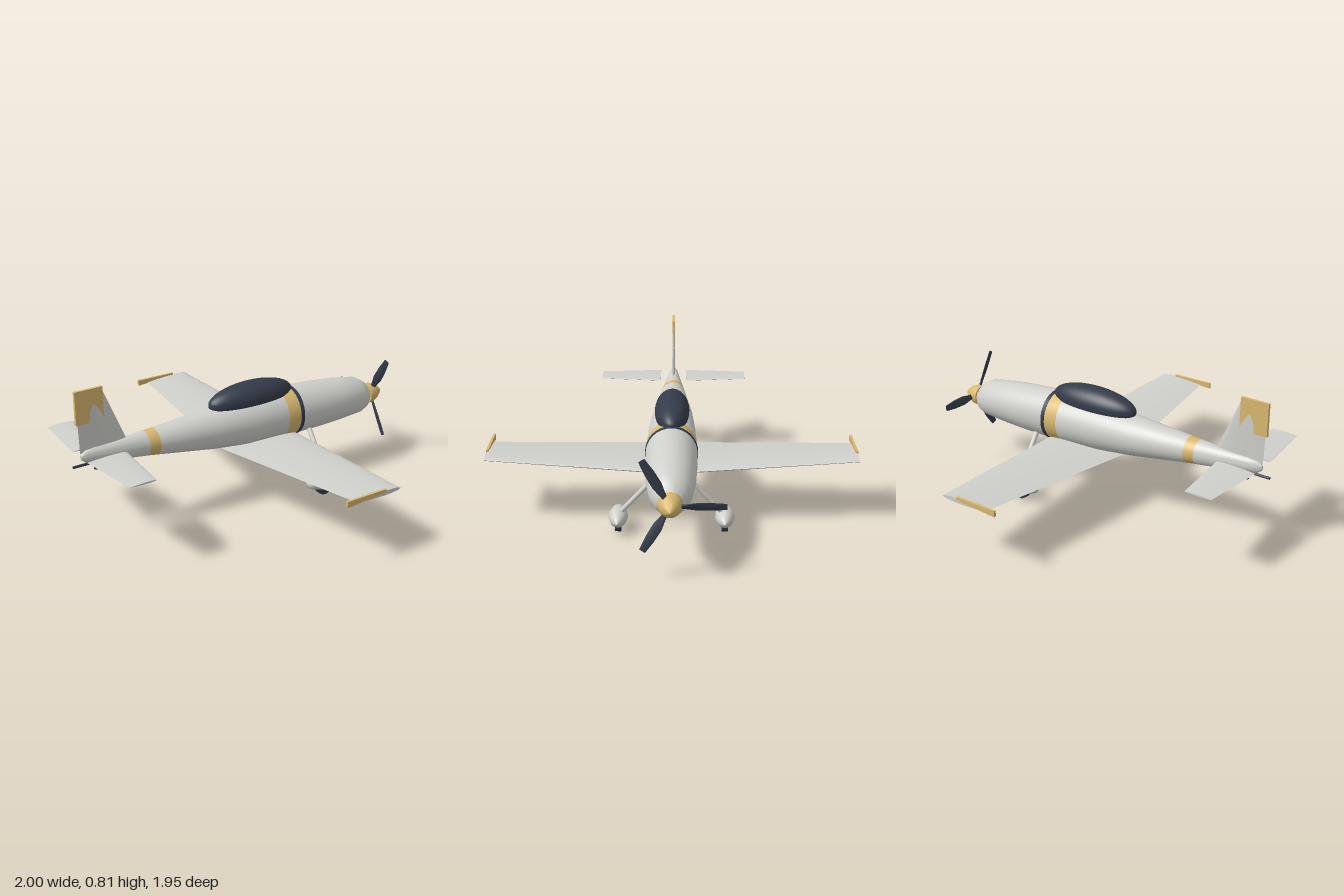
import * as THREE from 'three';
import { toCreasedNormals } from 'three/addons/utils/BufferGeometryUtils.js';

const material = (name, color) => Object.assign(new THREE.MeshStandardMaterial({ color }), { name });

// Skin over closed rings of points, optionally capped at both ends
function loft(rings, capped = true) {
  const n = rings[0].length, pos = rings.flat(2), index = [];
  for (let i = 0; i < rings.length - 1; i++) {
    for (let j = 0; j < n; j++) {
      const k = (j + 1) % n, a = i * n, b = a + n;
      index.push(a + j, a + k, b + j, a + k, b + k, b + j);
    }
  }
  if (capped) {
    const last = (rings.length - 1) * n;
    for (let j = 1; j < n - 1; j++) {
      index.push(0, j + 1, j, last, last + j, last + j + 1);
    }
  }
  const g = new THREE.BufferGeometry();
  g.setAttribute('position', new THREE.Float32BufferAttribute(pos, 3));
  g.setIndex(index);
  return toCreasedNormals(g, 0.7);
}

// Aerofoil outline as [along chord, across] pairs, leading edge at x1
function aerofoil(x0, x1, thick, n = 20) {
  return Array.from({ length: n }, (_, j) => {
    const t = j / n * Math.PI * 2, c = (1 + Math.cos(t)) / 2;
    return [x0 + (x1 - x0) * c, 0.65 * thick * Math.sin(t) * Math.sqrt(c)];
  });
}
const wingRing = (z, y, x0, x1, thick) => aerofoil(x0, x1, thick).map(([x, d]) => [x, y + d, z]);

// Fuselage stations: x, top y, bottom y, half width
const stations = [
  [-0.955, 0.478, 0.452, 0.008], [-0.93, 0.498, 0.432, 0.018], [-0.88, 0.505, 0.42, 0.027],
  [-0.58, 0.517, 0.383, 0.065], [-0.2, 0.54, 0.322, 0.11], [0.02, 0.551, 0.295, 0.124],
  [0.3, 0.557, 0.28, 0.133], [0.5, 0.543, 0.28, 0.13], [0.65, 0.527, 0.285, 0.123],
  [0.8, 0.502, 0.292, 0.105], [0.85, 0.473, 0.307, 0.082], [0.885, 0.432, 0.338, 0.048],
];
function stationAt(x) {
  let i = 0;
  while (i < stations.length - 2 && stations[i + 1][0] < x) i++;
  const a = stations[i], b = stations[i + 1], t = (x - a[0]) / (b[0] - a[0]);
  return a.map((v, k) => v + (b[k] - v) * t);
}
function fuselageSection(x0, x1, grow = 0) {
  const list = [stationAt(x0), ...stations.filter(s => s[0] > x0 + 1e-4 && s[0] < x1 - 1e-4), stationAt(x1)];
  return loft(list.map(([x, top, bottom, w]) => Array.from({ length: 32 }, (_, j) => {
    const t = j / 32 * Math.PI * 2;
    return [x, (top + bottom) / 2 + ((top - bottom) / 2 + grow) * Math.cos(t), (w + grow) * Math.sin(t)];
  })));
}

// Flat plate in the x-y plane, centred on z = 0
function plate(points, depth) {
  const g = new THREE.ExtrudeGeometry(new THREE.Shape(points.map(p => new THREE.Vector2(...p))),
    { depth, bevelEnabled: false });
  return g.translate(0, 0, -depth / 2);
}
const lathe = (points, segments = 24) =>
  new THREE.LatheGeometry(points.map(p => new THREE.Vector2(...p)), segments);

export function createModel() {
  const model = new THREE.Group();
  model.name = 'aeroplane';
  const white = material('paleGrey', 0xcfcfcb);
  const gold = material('gold', 0xd9b76f);
  const dark = material('darkSlate', 0x343c4a);

  const add = (name, geometry, mat, parent = model) => {
    const mesh = new THREE.Mesh(geometry, mat);
    mesh.name = name;
    parent.add(mesh);
    return mesh;
  };

  // Fuselage with painted bands
  add('rearFuselage', fuselageSection(-0.955, -0.595), white);
  add('rearBand', fuselageSection(-0.595, -0.538), gold);
  add('midFuselage', fuselageSection(-0.538, 0.235), white);
  add('frontBand', fuselageSection(0.235, 0.315), gold);
  add('darkRing', fuselageSection(0.313, 0.335, 0.003), dark);
  add('noseFuselage', fuselageSection(0.315, 0.885), white);

  // Canopy bubble, cut flat underneath
  const bubble = [[0, -0.23]];
  for (let i = 0; i <= 16; i++) {
    const t = 1.8 * (1 - i / 16);
    bubble.push([Math.sin(t), Math.cos(t)]);
  }
  const canopy = add('canopy', toCreasedNormals(lathe(bubble, 40).scale(0.265, 0.087, 0.091), 0.7), dark);
  canopy.position.set(0.065, 0.555, 0);

  // Main wing in one piece, with dihedral
  add('wing', loft([
    wingRing(-0.972, 0.348, -0.01, 0.265, 0.024),
    wingRing(0, 0.303, -0.135, 0.322, 0.045),
    wingRing(0.972, 0.348, -0.01, 0.265, 0.024),
  ]), white);

  // Tailplane halves and wing tip plates
  for (const side of [1, -1]) {
    const halves = [wingRing(side * 0.077, 0.468, -0.96, -0.74, 0.014),
      wingRing(side * 0.43, 0.468, -0.925, -0.78, 0.009)];
    add(side > 0 ? 'rightTailplane' : 'leftTailplane', loft(side > 0 ? halves : halves.reverse()), white);
    const tip = add('wingTipPlate', plate([[-0.073, 0.34], [0.17, 0.354], [0.17, 0.37], [-0.073, 0.372]], 0.013), gold);
    tip.position.z = side * 0.97;
  }

  // Fin and its painted tip
  const finRing = (y, x0, x1, thick) => aerofoil(x0, x1, thick).map(([x, d]) => [x, y, -d]);
  add('fin', loft([finRing(0.485, -0.957, -0.69, 0.018), finRing(0.808, -0.967, -0.825, 0.01)]), white);
  add('finTip', plate([[-0.972, 0.638], [-0.9, 0.638], [-0.895, 0.69], [-0.882, 0.725], [-0.866, 0.73],
    [-0.845, 0.705], [-0.82, 0.652], [-0.82, 0.812], [-0.972, 0.812]], 0.0155), gold);

  // Propeller: spinner and three twisted blades
  const propeller = new THREE.Group();
  propeller.name = 'propeller';
  propeller.position.set(0.92, 0.385, 0);
  model.add(propeller);
  const spinner = add('spinner', lathe([[0, -0.035], [0.058, -0.035], [0.058, -0.034], [0.056, 0],
    [0.044, 0.03], [0.024, 0.058], [0, 0.08]]), gold, propeller);
  spinner.geometry = toCreasedNormals(spinner.geometry, 0.9);
  spinner.rotation.z = -Math.PI / 2;
  const bladeRings = [[0.03, 0.022, 0.016, 0.6], [0.07, 0.032, 0.014, 0.55], [0.12, 0.05, 0.011, 0.42],
    [0.19, 0.047, 0.008, 0.3], [0.262, 0.032, 0.005, 0.15]].map(([r, chord, thick, pitch]) =>
    Array.from({ length: 12 }, (_, j) => {
      const t = j / 12 * Math.PI * 2, u = Math.cos(t) * thick / 2, v = -Math.sin(t) * chord / 2;
      return [u * Math.cos(pitch) + v * Math.sin(pitch), r, v * Math.cos(pitch) - u * Math.sin(pitch)];
    }));
  const bladeGeometry = loft(bladeRings);
  for (let i = 0; i < 3; i++) {
    add('blade', bladeGeometry, dark, propeller).rotation.x = -Math.PI / 2 + i * Math.PI * 2 / 3;
  }

  // Main landing gear: leg, wheel and fairing on each side
  for (const side of [1, -1]) {
    const gear = new THREE.Group();
    gear.name = side > 0 ? 'rightGear' : 'leftGear';
    model.add(gear);
    const top = new THREE.Vector3(0.407, 0.33, side * 0.07), foot = new THREE.Vector3(0.382, 0.1, side * 0.275);
    const axis = top.clone().sub(foot);
    const leg = add('gearLeg', new THREE.CylinderGeometry(0.014, 0.012, axis.length(), 14), white, gear);
    leg.position.copy(top).add(foot).multiplyScalar(0.5);
    leg.quaternion.setFromUnitVectors(new THREE.Vector3(0, 1, 0), axis.normalize());
    const wheel = add('wheel', new THREE.CylinderGeometry(0.054, 0.054, 0.03, 24), dark, gear);
    wheel.rotation.x = Math.PI / 2;
    wheel.position.set(0.365, 0.055, side * 0.275);
    const fairing = add('wheelFairing', lathe([[0, -0.107], [0.02, -0.105], [0.036, -0.07], [0.048, -0.02],
      [0.05, 0.01], [0.041, 0.055], [0.02, 0.09], [0, 0.11]]), white, gear);
    fairing.rotation.z = -Math.PI / 2;
    fairing.position.set(0.362, 0.082, side * 0.275);
  }

  // Tail wheel and its spring
  const spring = add('tailSpring', new THREE.CylinderGeometry(0.007, 0.007, 0.12, 10), dark);
  spring.rotation.z = Math.PI / 2;
  spring.position.set(-0.94, 0.423, 0);
  const tailWheel = add('tailWheel', new THREE.CylinderGeometry(0.013, 0.013, 0.05, 14), dark);
  tailWheel.position.set(-0.873, 0.41, 0);

  return model;
}
